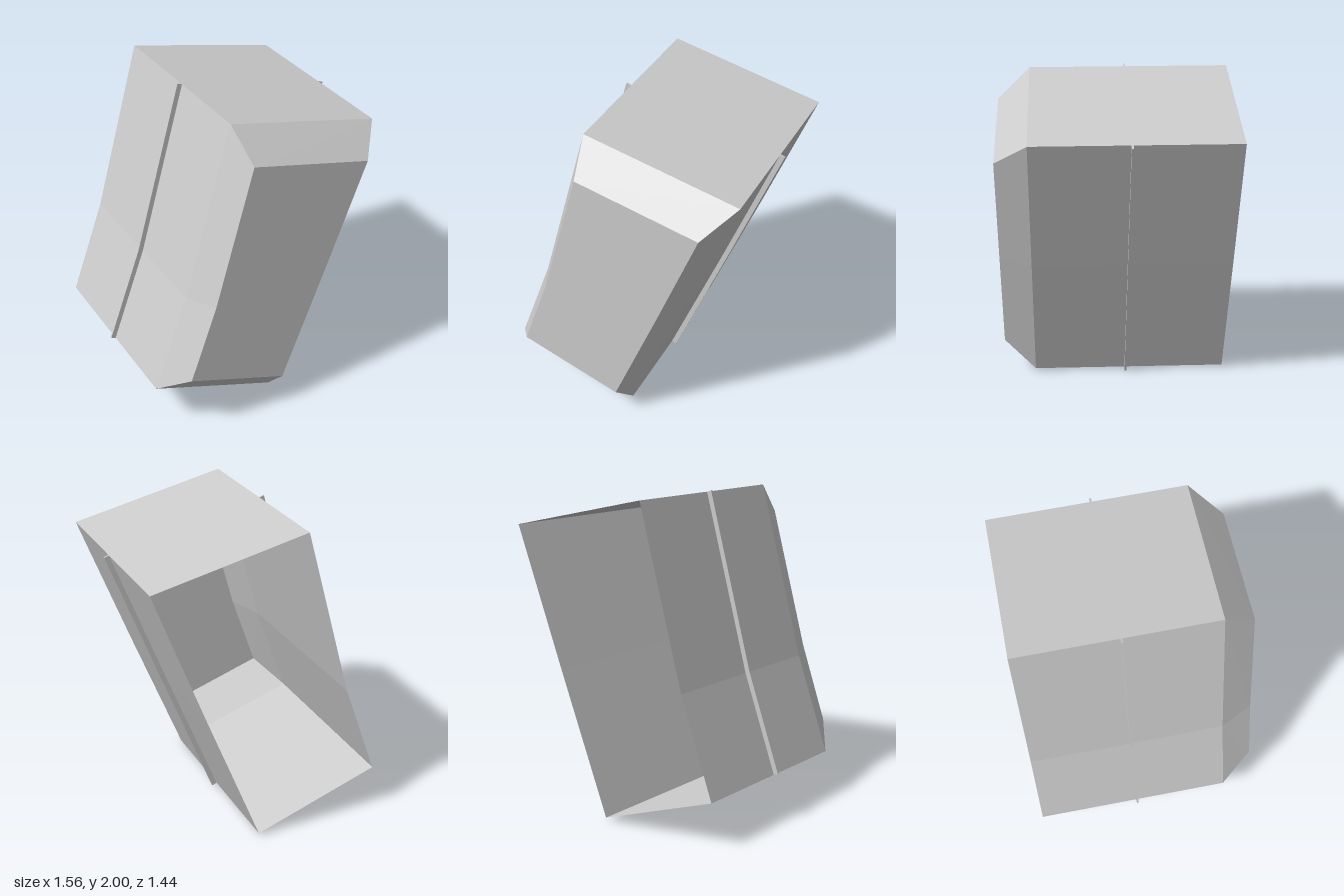
import * as THREE from 'three';

// Leaning shell outline, counter-clockwise from the front: [x, y]
const OUTER = [[-0.23, 1.99], [-0.53, 0.9], [-0.75, 0.29], [0.06, 0.015], [0.41, 0.9], [0.75, 1.78]];
const INNER = [[-0.19, 1.8], [-0.435, 0.92], [-0.605, 0.435], [0.04, 0.22], [0.32, 0.93], [0.59, 1.63]];

// Band of quads joining two outlines at two depths
function loft(a, za, b, zb) {
  const pos = [];
  a.forEach((p, i) => {
    const j = (i + 1) % a.length;
    const A = [...p, za], B = [...a[j], za], C = [...b[j], zb], D = [...b[i], zb];
    pos.push(...A, ...B, ...C, ...A, ...C, ...D);
  });
  const geo = new THREE.BufferGeometry();
  geo.setAttribute('position', new THREE.Float32BufferAttribute(pos, 3));
  geo.computeVertexNormals();
  return geo;
}

const toShape = (points) => new THREE.Shape(points.map(([x, y]) => new THREE.Vector2(x, y)));

export function createModel() {
  const model = new THREE.Group();
  model.name = 'leaningShell';
  const grey = new THREE.MeshStandardMaterial({ color: 0xcccccc, side: THREE.DoubleSide });
  grey.name = 'light grey';

  const add = (name, geometry, z = 0) => {
    const mesh = new THREE.Mesh(geometry, grey);
    mesh.name = name;
    mesh.position.z = z;
    model.add(mesh);
  };

  // Thin walls, open at the back, with a bevelled closed front
  add('walls', loft(OUTER, -0.72, OUTER, 0.52));
  add('frontBevel', loft(OUTER, 0.52, INNER, 0.72));
  add('frontPanel', new THREE.ShapeGeometry(toShape(INNER)), 0.72);

  // Narrow raised ribs down both sides
  const rib = (points) =>
    new THREE.ExtrudeGeometry(toShape(points), { depth: 0.012, bevelEnabled: false });
  add('rightRib', rib([[-0.23, 1.99], [-0.26, 2], [-0.56, 0.91], [-0.78, 0.3], [-0.75, 0.29], [-0.53, 0.9]]), -0.081);
  add('leftRib', rib([[0.06, 0.015], [0.09, 0], [0.44, 0.89], [0.78, 1.77], [0.75, 1.78], [0.41, 0.9]]), -0.081);

  return model;
}
